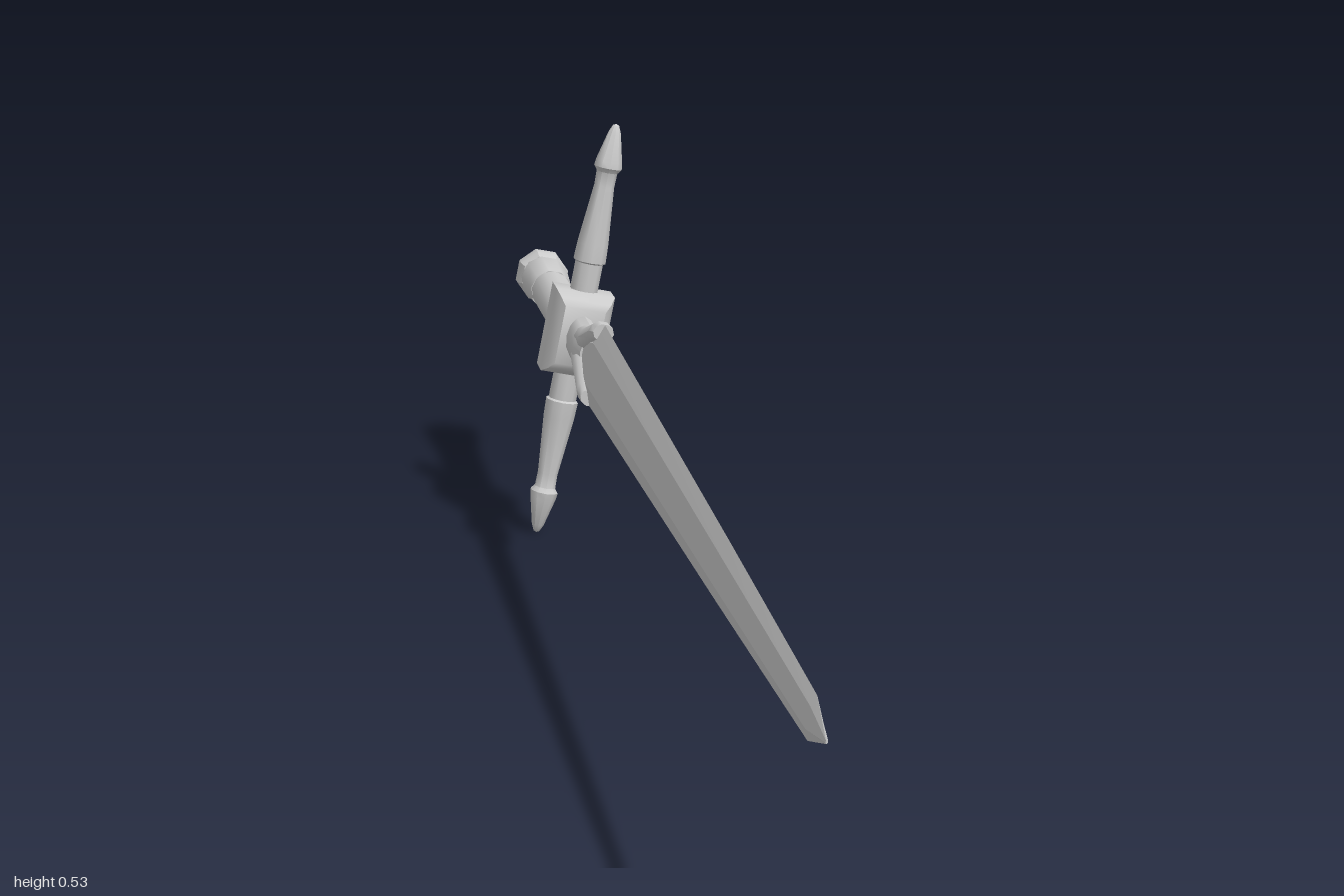
import * as THREE from 'three';
import { toCreasedNormals } from 'three/addons/utils/BufferGeometryUtils.js';

const material = new THREE.MeshStandardMaterial({ color: 0xcccccc });

function addMesh(parent, name, geometry, crease = 0.7) {
  const mesh = new THREE.Mesh(toCreasedNormals(geometry, crease), material);
  mesh.name = name;
  parent.add(mesh);
  return mesh;
}

// Unit circle section with n sides, counter-clockwise
function circle(n, turn = 0) {
  return Array.from({ length: n }, (_, i) => {
    const a = turn + (i / n) * Math.PI * 2;
    return [Math.cos(a), Math.sin(a)];
  });
}

// Closed loft along z; each ring is [z, half width x, half height y, centre y]
function loft(section, rings) {
  const n = section.length, pos = [], idx = [];
  for (const [z, hx, hy, cy = 0] of rings)
    for (const [u, v] of section) pos.push(u * hx, cy + v * hy, z);
  const last = (rings.length - 1) * n;
  for (let r = 0; r < last; r += n)
    for (let j = 0; j < n; j++) {
      const k = (j + 1) % n;
      idx.push(r + j, r + k, r + n + k, r + j, r + n + k, r + n + j);
    }
  for (let j = 1; j < n - 1; j++) {
    idx.push(0, j + 1, j, last, last + j, last + j + 1);
  }
  const g = new THREE.BufferGeometry();
  g.setAttribute('position', new THREE.Float32BufferAttribute(pos, 3));
  g.setIndex(idx);
  return g;
}

export function createModel() {
  const model = new THREE.Group();
  model.name = 'sword';
  const sword = new THREE.Group();
  sword.name = 'rolledSword';
  sword.position.y = 0.267;
  sword.rotation.z = -0.198;
  model.add(sword);

  // Blade: flat faces with bevelled edges, tapering to a short point
  const bladeSection = [[0, 1], [-1, 0.5], [-1, -0.5], [0, -1], [1, -0.5], [1, 0.5]];
  addMesh(sword, 'blade', loft(bladeSection, [
    [-0.5, 0.009, 0.022], [-0.41, 0.009, 0.051], [0.5, 0.006, 0.031],
    [0.94, 0.004, 0.02], [1.0, 0.001, 0.002],
  ]), 0.1);

  // Neck between hub and blade, with a fork gripping the blade
  addMesh(sword, 'neck', loft(circle(12), [
    [-0.58, 0.018, 0.029], [-0.5, 0.018, 0.028], [-0.475, 0.012, 0.02],
  ]));
  for (const s of [1, -1]) {
    addMesh(sword, s > 0 ? 'upperProng' : 'lowerProng', loft(circle(10), [
      [-0.515, 0.017, 0.016, 0.012 * s], [-0.48, 0.018, 0.017, 0.017 * s],
      [-0.425, 0.016, 0.015, 0.037 * s], [-0.405, 0.013, 0.011, 0.041 * s],
    ]));
  }

  // Hub: squared block with bevelled front and back
  const square = [[1, 1], [-1, 1], [-1, -1], [1, -1]];
  addMesh(sword, 'hub', loft(square, [
    [-0.657, 0.026, 0.037], [-0.65, 0.032, 0.046], [-0.632, 0.038, 0.054],
    [-0.59, 0.038, 0.054], [-0.572, 0.032, 0.046], [-0.565, 0.026, 0.037],
  ]));

  // Cross guard arms with pointed finials
  const armProfile = [
    [0, 0.04], [0.018, 0.04], [0.018, 0.09], [0.021, 0.092], [0.02, 0.115],
    [0.013, 0.19], [0.0135, 0.208], [0.018, 0.214], [0.017, 0.222],
    [0.008, 0.259], [0.004, 0.268], [0, 0.27],
  ].map(([r, y]) => new THREE.Vector2(r, y));
  for (const up of [true, false]) {
    const arm = addMesh(sword, up ? 'upperGuardArm' : 'lowerGuardArm',
      new THREE.LatheGeometry(armProfile, 10));
    arm.position.z = -0.611;
    if (!up) arm.rotation.z = Math.PI;
  }

  // Grip, flaring ferrule and pommel
  addMesh(sword, 'grip', loft(circle(12), [[-0.88, 0.027, 0.027], [-0.64, 0.027, 0.027]]));
  addMesh(sword, 'ferrule', loft(circle(10), [
    [-0.965, 0.03, 0.03], [-0.945, 0.033, 0.033], [-0.87, 0.028, 0.028],
  ]));
  addMesh(sword, 'pommel', loft(circle(8, Math.PI / 8), [
    [-1.0, 0.033, 0.033], [-0.992, 0.036, 0.036], [-0.97, 0.036, 0.036], [-0.96, 0.031, 0.031],
  ]));

  return model;
}
